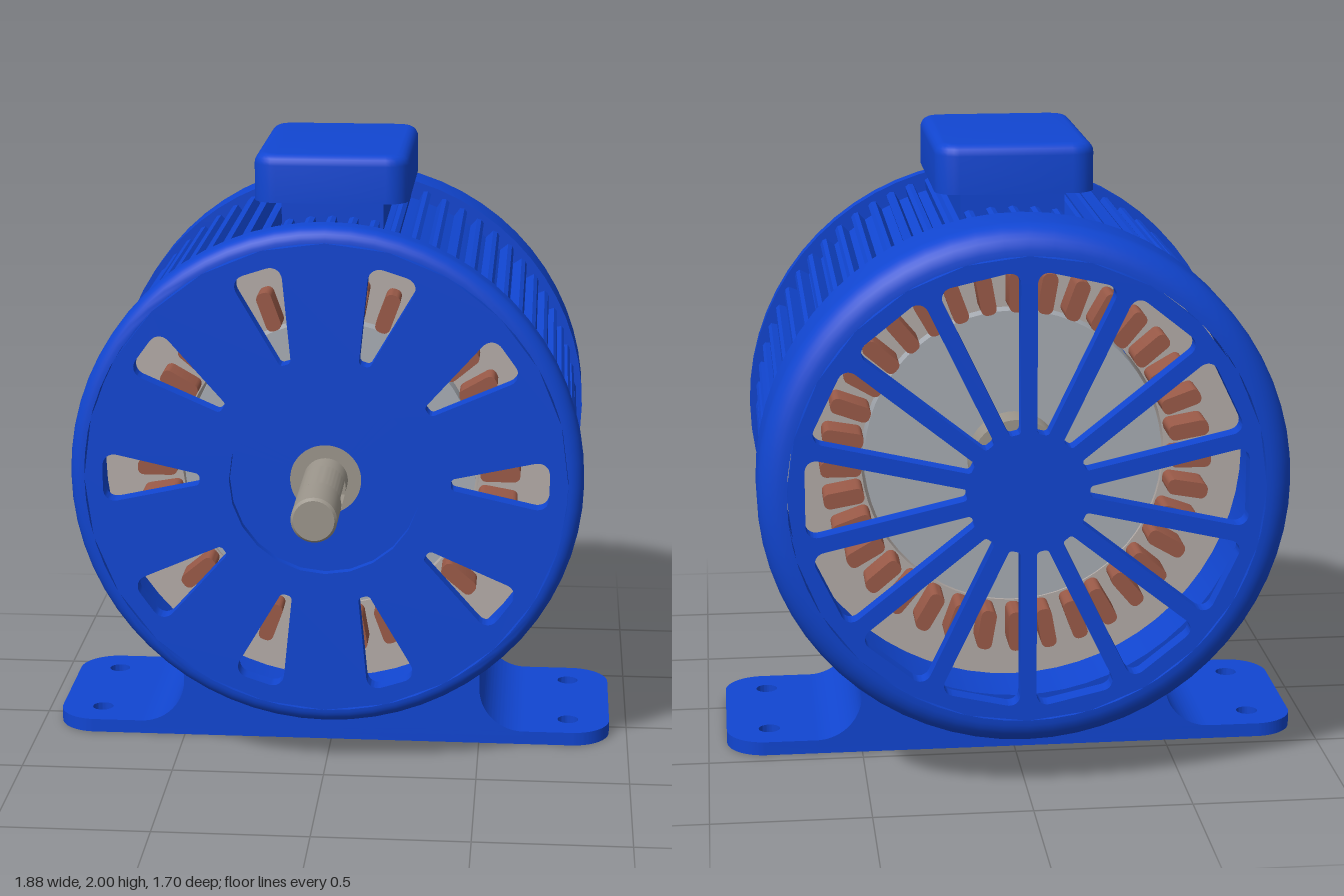
import * as THREE from 'three';
import { toCreasedNormals } from 'three/addons/utils/BufferGeometryUtils.js';

const mat = (color) => new THREE.MeshStandardMaterial({ color });
const AXIS_Y = 0.98;

export function createModel() {
  const blue = mat(0x1146d2), steel = mat(0x9c968c), iron = mat(0xb4aca8),
    rotorGrey = mat(0xa8adb4), copper = mat(0x9a5a48);
  const model = new THREE.Group();
  model.name = 'electricMotor';
  const core = new THREE.Group();
  core.name = 'motorBody';
  core.position.y = AXIS_Y;
  model.add(core);

  const add = (parent, name, geometry, material) => {
    const mesh = new THREE.Mesh(toCreasedNormals(geometry, 0.6), material);
    mesh.name = name;
    parent.add(mesh);
    return mesh;
  };
  const extrude = (shape, depth, z = 0, extra = {}) =>
    new THREE.ExtrudeGeometry(shape, { depth, bevelEnabled: false, curveSegments: 32, ...extra }).translate(0, 0, z);
  // closed [radius, z] profile turned about the z axis
  const turned = (profile, segments = 64) =>
    new THREE.LatheGeometry(profile.map(([r, z]) => new THREE.Vector2(r, z)), segments).rotateX(Math.PI / 2);
  const circle = (r, Type = THREE.Path) => new Type().absarc(0, 0, r, 0, Math.PI * 2);

  // polygon with rounded corners; each point is [x, y, cornerRadius]
  function rounded(points, Type = THREE.Shape) {
    const path = new Type(), n = points.length;
    const v = points.map(([x, y]) => new THREE.Vector2(x, y));
    v.forEach((p, i) => {
      const toward = (q) => q.clone().sub(p).setLength(points[i][2]).add(p);
      const a = toward(v[(i + n - 1) % n]), b = toward(v[(i + 1) % n]);
      if (i === 0) path.moveTo(a.x, a.y); else path.lineTo(a.x, a.y);
      const k = 0.56, c = a.clone().lerp(p, k), d = b.clone().lerp(p, k);
      path.bezierCurveTo(c.x, c.y, d.x, d.y, b.x, b.y);
    });
    path.closePath();
    return path;
  }
  const roundRect = (w, h, r) => rounded([[-w, -h, r], [w, -h, r], [w, h, r], [-w, h, r]]);

  // end cap with its outer face at z = 0, facing +z
  function endCap(name, depth, fillet, count, [r1, h1, c1], [r2, h2, c2], boreRadius) {
    const group = new THREE.Group();
    group.name = name;
    const R = 0.83, thick = 0.06;
    const face = circle(R - fillet, THREE.Shape);
    for (let i = 0; i < count; i++) {
      const a = i / count * Math.PI * 2, c = Math.cos(a), s = Math.sin(a);
      const spin = ([x, y, r]) => [x * c - y * s, x * s + y * c, r];
      face.holes.push(rounded([[r1, -h1, c1], [r2, -h2, c2], [r2, h2, c2], [r1, h1, c1]].map(spin), THREE.Path));
    }
    if (boreRadius) face.holes.push(circle(boreRadius));
    add(group, name + 'Face', extrude(face, thick, -thick, { curveSegments: 12 }), blue);
    const rim = [[R - 0.06, -depth], [R, -depth]];
    for (let i = 0; i <= 8; i++) {
      const a = i / 8 * Math.PI / 2;
      rim.push([R - fillet + fillet * Math.cos(a), -fillet + fillet * Math.sin(a)]);
    }
    rim.push([R - fillet, -thick], [R - 0.06, -Math.max(thick, fillet)], [R - 0.06, -depth]);
    add(group, name + 'Rim', turned(rim), blue);
    core.add(group);
    return group;
  }
  const front = endCap('frontCap', 0.1, 0.05, 10, [0.405, 0.018, 0.012], [0.72, 0.087, 0.05], 0.31);
  front.position.z = 0.43;
  add(front, 'bearingRecess', turned([[0.115, -0.06], [0.31, -0.06], [0.31, -0.03], [0.115, -0.03], [0.115, -0.06]]), blue);
  add(front, 'frontBearing', turned([[0.06, -0.08], [0.115, -0.08], [0.115, -0.03], [0.06, -0.03], [0.06, -0.08]], 48), steel);

  const pitch = Math.PI / 14;
  const half = (r) => r * Math.tan(pitch) - 0.026;
  const back = endCap('fanGuard', 0.25, 0.09, 14, [0.19, half(0.19), 0.01], [0.685, half(0.685), 0.045], 0);
  back.position.z = -0.85;
  back.rotation.y = Math.PI;

  // housing: fins all round, except for a smooth underside
  const housing = new THREE.Shape();
  const fins = 72, step = Math.PI * 2 / fins;
  for (let i = 0; i < fins; i++) {
    const a = i * step;
    const smooth = Math.sin(a) < -0.64;
    const tooth = smooth ? [[-0.5, 0.805], [0, 0.805]]
      : [[-0.5, 0.77], [-0.27, 0.77], [-0.2, 0.805], [0, 0.81], [0.2, 0.805], [0.27, 0.77]];
    for (const [t, r] of tooth) {
      const x = r * Math.cos(a + t * step), y = r * Math.sin(a + t * step);
      if (i === 0 && t === -0.5) housing.moveTo(x, y); else housing.lineTo(x, y);
    }
  }
  housing.closePath();
  housing.holes.push(circle(0.745));
  add(core, 'finnedHousing', extrude(housing, 0.94, -0.605), blue);

  // stator ring, rotor and copper windings
  add(core, 'stator', turned([[0.49, -0.4], [0.75, -0.4], [0.75, 0.2], [0.49, 0.2], [0.49, -0.4]]), iron);
  add(core, 'rotor', turned([[0.05, -0.42], [0.48, -0.42], [0.48, 0.22], [0.05, 0.22], [0.05, -0.42]]), rotorGrey);
  for (const z of [-0.47, 0.26])
    add(core, 'rotorHub', turned([[0.05, z - 0.06], [0.15, z - 0.06], [0.15, z + 0.06], [0.05, z + 0.06], [0.05, z - 0.06]], 48), steel);
  const windings = new THREE.Group();
  windings.name = 'windings';
  core.add(windings);
  const coilShape = roundRect(0.065, 0.025, 0.02);
  const coilGeometry = extrude(coilShape, 0.82, -0.52, { curveSegments: 4 }).translate(0.56, 0, 0);
  for (let i = 0; i < 36; i++) add(windings, 'coil', coilGeometry, copper).rotation.z = i * Math.PI / 18;

  // shaft with a keyway cut on its +x side
  const R = 0.072;
  add(core, 'shaftRear', turned([[0, -0.82], [R, -0.82], [R, 0.49], [0, 0.49]], 40), steel);
  add(core, 'shaftTip', turned([[0, 0.675], [R, 0.675], [R, 0.84], [R - 0.008, 0.85], [0, 0.85]], 40), steel);
  const notch = Math.asin(0.022 / R);
  const keyed = new THREE.Shape();
  keyed.absarc(0, 0, R, notch, Math.PI * 2 - notch);
  keyed.lineTo(0.048, -0.022);
  keyed.lineTo(0.048, 0.022);
  keyed.closePath();
  add(core, 'shaftKeyway', extrude(keyed, 0.185, 0.49), steel);

  // foot: pedestal with fillets, cradling the housing
  const pedestal = new THREE.Shape();
  const lift = Math.asin(0.5 / 0.78);
  pedestal.moveTo(-0.65, 0.02);
  pedestal.lineTo(0.65, 0.02);
  pedestal.lineTo(0.65, 0.045);
  pedestal.absarc(0.65, 0.195, 0.15, -Math.PI / 2, -Math.PI, true);
  pedestal.absarc(0, AXIS_Y, 0.78, -Math.PI / 2 + lift, -Math.PI / 2 - lift, true);
  pedestal.absarc(-0.65, 0.195, 0.15, 0, -Math.PI / 2, true);
  pedestal.closePath();
  add(model, 'pedestal', extrude(pedestal, 0.63, -0.45), blue);

  // foot plate with four bolt holes
  const plate = roundRect(0.94, 0.315, 0.13);
  for (const x of [-0.8, 0.8]) for (const y of [-0.19, 0.19])
    plate.holes.push(new THREE.Path().absarc(x, y, 0.035, 0, Math.PI * 2));
  add(model, 'footPlate', extrude(plate, 0.045).rotateX(-Math.PI / 2).translate(0, 0, -0.135), blue);

  // terminal box on its neck
  add(model, 'terminalNeck', new THREE.BoxGeometry(0.33, 0.12, 0.5).translate(0, 1.8, -0.13), blue);
  const b = 0.035;
  const box = extrude(roundRect(0.25 - b, 0.35 - b, 0.04), 0.155 - b, 0,
    { bevelEnabled: true, bevelSize: b, bevelThickness: b, bevelSegments: 5, curveSegments: 6 });
  // flatten the lower bevel to a sharp bottom edge
  const p = box.attributes.position;
  for (let i = 0; i < p.count; i++) p.setZ(i, Math.max(0, p.getZ(i)));
  add(model, 'terminalBox', box.rotateX(-Math.PI / 2).translate(0, 1.845, -0.14), blue);

  return model;
}
